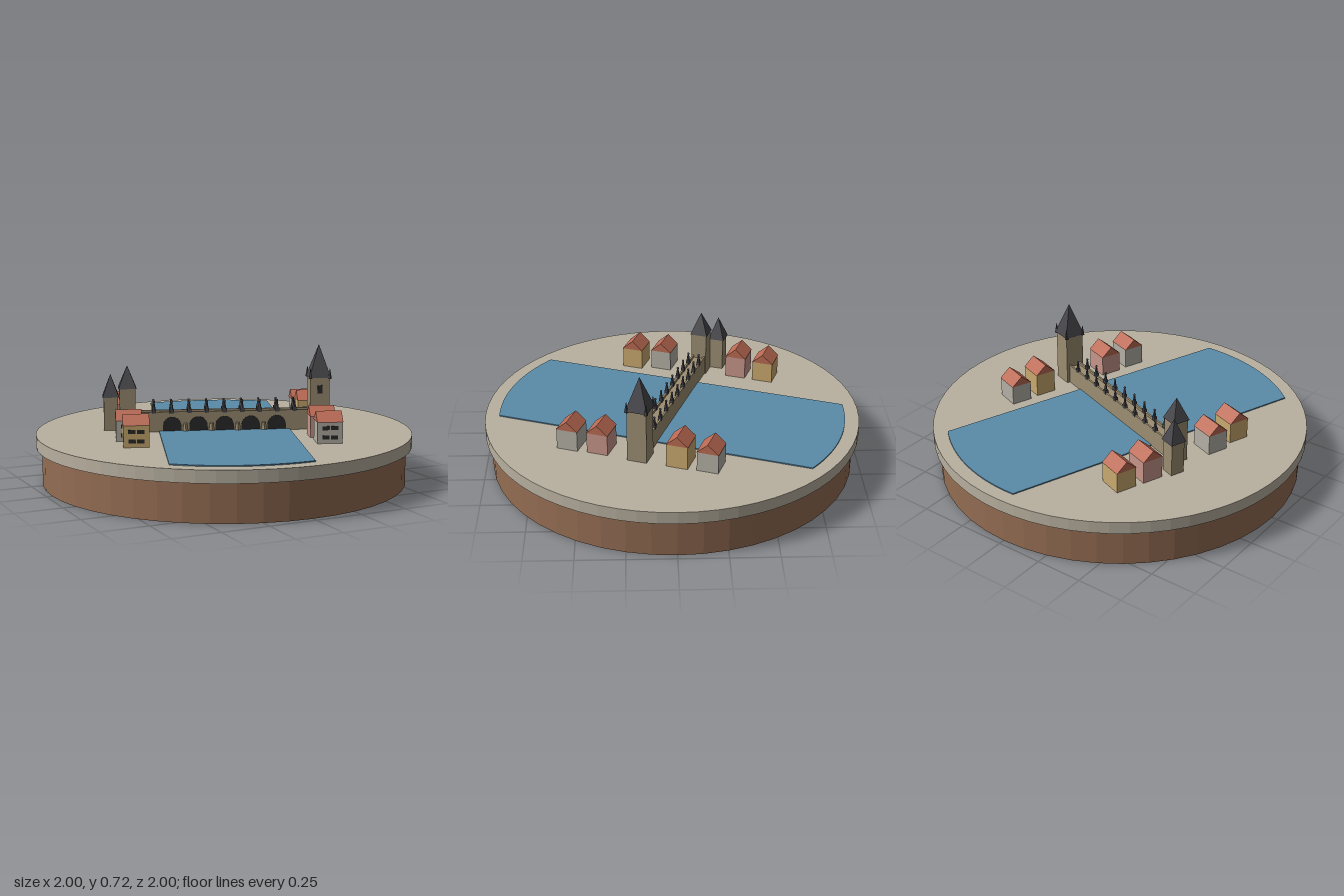
import * as THREE from 'three';

const mat = (name, color) => {
  const m = new THREE.MeshStandardMaterial({ color });
  m.name = name;
  return m;
};
const M = {
  paving: mat('paving', 0xb8b0a0), wood: mat('wood', 0x946d53), water: mat('water', 0x5a8ba8),
  sandstone: mat('sandstone', 0x9c8e72), slate: mat('slate', 0x46464b), tile: mat('roofTile', 0xbb6a54),
  yellow: mat('yellowPlaster', 0xcbab70), pink: mat('pinkPlaster', 0xc8968a),
  grey: mat('greyPlaster', 0xb5b1a6), dark: mat('darkOpening', 0x2a2a2c),
};

// Facet every face so that edges stay sharp
function flat(geometry) {
  const g = geometry.index ? geometry.toNonIndexed() : geometry;
  g.computeVertexNormals();
  return g;
}

function add(parent, name, geometry, material, x = 0, y = 0, z = 0) {
  const mesh = new THREE.Mesh(geometry, material);
  mesh.name = name;
  mesh.position.set(x, y, z);
  parent.add(mesh);
  return mesh;
}

function group(parent, name, x = 0, y = 0, z = 0) {
  const g = new THREE.Group();
  g.name = name;
  g.position.set(x, y, z);
  parent.add(g);
  return g;
}

// Box standing on y = 0
const block = (w, h, d) => new THREE.BoxGeometry(w, h, d).translate(0, h / 2, 0);

// Square pyramid standing on y = 0, sides parallel to the axes
const pyramid = (side, h) =>
  flat(new THREE.ConeGeometry(side / Math.SQRT2, h, 4).rotateY(Math.PI / 4).translate(0, h / 2, 0));

// Thin round-topped plate for arches and doors
function archPlate(w, h, depth = 0.006) {
  const r = w / 2, s = new THREE.Shape();
  s.moveTo(-r, 0);
  s.lineTo(r, 0);
  s.lineTo(r, h - r);
  s.absarc(0, h - r, r, 0, Math.PI, false);
  s.closePath();
  return new THREE.ExtrudeGeometry(s, { depth, bevelEnabled: false, curveSegments: 10 });
}

const GROUND = 0.265;

function buildBase(parent) {
  add(parent, 'woodenBase', flat(new THREE.CylinderGeometry(0.97, 0.97, 0.2, 48)), M.wood, 0, 0.1, 0);
  add(parent, 'groundDisc', flat(new THREE.CylinderGeometry(1, 1, GROUND - 0.2, 64)), M.paving, 0, (GROUND + 0.2) / 2, 0);
}

// River strip with rounded ends that follow the disc
function buildRiver(parent) {
  const R = 0.925, a = Math.acos(0.35 / R), s = new THREE.Shape();
  s.absarc(0, 0, R, a, Math.PI - a, false);
  s.absarc(0, 0, R, Math.PI + a, 2 * Math.PI - a, false);
  s.closePath();
  const g = new THREE.ExtrudeGeometry(s, { depth: 0.006, bevelEnabled: false, curveSegments: 24 });
  add(parent, 'river', g.rotateX(-Math.PI / 2), M.water, 0, GROUND, 0);
}

function buildStatue(parent, x, z) {
  const s = group(parent, 'statue', x, 0.1, z);
  add(s, 'statuePedestal', block(0.022, 0.022, 0.018), M.slate);
  add(s, 'statueBody', flat(new THREE.CylinderGeometry(0.004, 0.01, 0.036, 6)), M.slate, 0, 0.039, 0);
  add(s, 'statueHead', new THREE.SphereGeometry(0.0065, 8, 6), M.slate, 0, 0.061, 0);
}

function buildBridge(parent) {
  const b = group(parent, 'bridge', 0, GROUND, 0);
  add(b, 'bridgeBody', block(0.96, 0.094, 0.07), M.sandstone);
  for (const side of [-1, 1]) {
    add(b, 'parapet', block(0.96, 0.014, 0.01), M.sandstone, 0, 0.094, side * 0.032);
    for (let i = 0; i < 9; i++) buildStatue(b, -0.376 + i * 0.094, side * 0.03);
  }
  for (let i = -2; i <= 2; i++) add(b, 'archOpening', archPlate(0.098, 0.08), M.dark, i * 0.14, 0, 0.033);
  // Cutwaters between the arches
  for (let i = 0; i < 4; i++) {
    const g = flat(new THREE.CylinderGeometry(0.012, 0.018, 0.045, 6).translate(0, 0.0225, 0));
    add(b, 'cutwater', g, M.sandstone, -0.21 + i * 0.14, 0, 0.043);
  }
}

function buildTower(parent, name, x, z, side, wall, roofSide, roof) {
  const t = group(parent, name, x, GROUND, z);
  add(t, 'towerWall', block(side, wall, side), M.sandstone);
  add(t, 'towerRoof', pyramid(roofSide, roof), M.slate, 0, wall, 0);
  return t;
}

function buildTowers(parent) {
  const east = buildTower(parent, 'eastTower', 0.51, 0, 0.104, 0.28, 0.116, 0.175);
  for (const sx of [-1, 1]) for (const sz of [-1, 1]) {
    const g = flat(new THREE.ConeGeometry(0.011, 0.06, 6).translate(0, 0.03, 0));
    add(east, 'cornerTurret', g, M.slate, sx * 0.052, 0.275, sz * 0.052);
  }
  add(east, 'towerDoor', archPlate(0.038, 0.1), M.dark, 0, 0, 0.049);
  add(east, 'towerWindow', block(0.026, 0.045, 0.006), M.dark, 0, 0.195, 0.053);

  const west = buildTower(parent, 'westTower', -0.515, 0, 0.084, 0.235, 0.096, 0.12);
  add(west, 'towerDoor', archPlate(0.03, 0.075), M.dark, 0, 0, 0.039);
  buildTower(parent, 'smallWestTower', -0.602, -0.075, 0.075, 0.178, 0.088, 0.122);
}

// Gabled house: ridge runs along x, windows face +z
function buildHouse(parent, x, z, wall, paint) {
  const h = group(parent, 'house', x, GROUND, z), w = 0.13, d = 0.112;
  add(h, 'houseWalls', block(w, wall, d), paint);
  const s = new THREE.Shape();
  s.moveTo(-d / 2 - 0.002, 0);
  s.lineTo(d / 2 + 0.002, 0);
  s.lineTo(0, 0.05);
  s.closePath();
  const roof = new THREE.ExtrudeGeometry(s, { depth: w + 0.004, bevelEnabled: false });
  add(h, 'houseRoof', roof.translate(0, 0, -w / 2 - 0.002).rotateY(Math.PI / 2), M.tile, 0, wall, 0);
  for (const y of [0.022, 0.07])
    for (const side of [-1, 1])
      add(h, 'houseWindow', block(0.037, 0.02, 0.006), M.dark, side * 0.022, y, d / 2 + 0.001);
}

export function createModel() {
  const model = new THREE.Group();
  model.name = 'riverTown';
  buildBase(model);

  // The town is turned on its disc
  const town = group(model, 'town');
  town.rotation.y = -THREE.MathUtils.degToRad(20);
  buildRiver(town);
  buildBridge(town);
  buildTowers(town);

  // x, z, wall height, paint
  const houses = [
    [-0.553, -0.367, 0.11, M.yellow], [-0.554, -0.211, 0.12, M.pink],
    [-0.518, 0.218, 0.108, M.grey], [-0.486, 0.378, 0.112, M.yellow],
    [0.481, -0.367, 0.105, M.grey], [0.49, -0.21, 0.125, M.yellow],
    [0.488, 0.217, 0.112, M.pink], [0.497, 0.378, 0.11, M.grey],
  ];
  for (const house of houses) buildHouse(town, ...house);
  return model;
}
